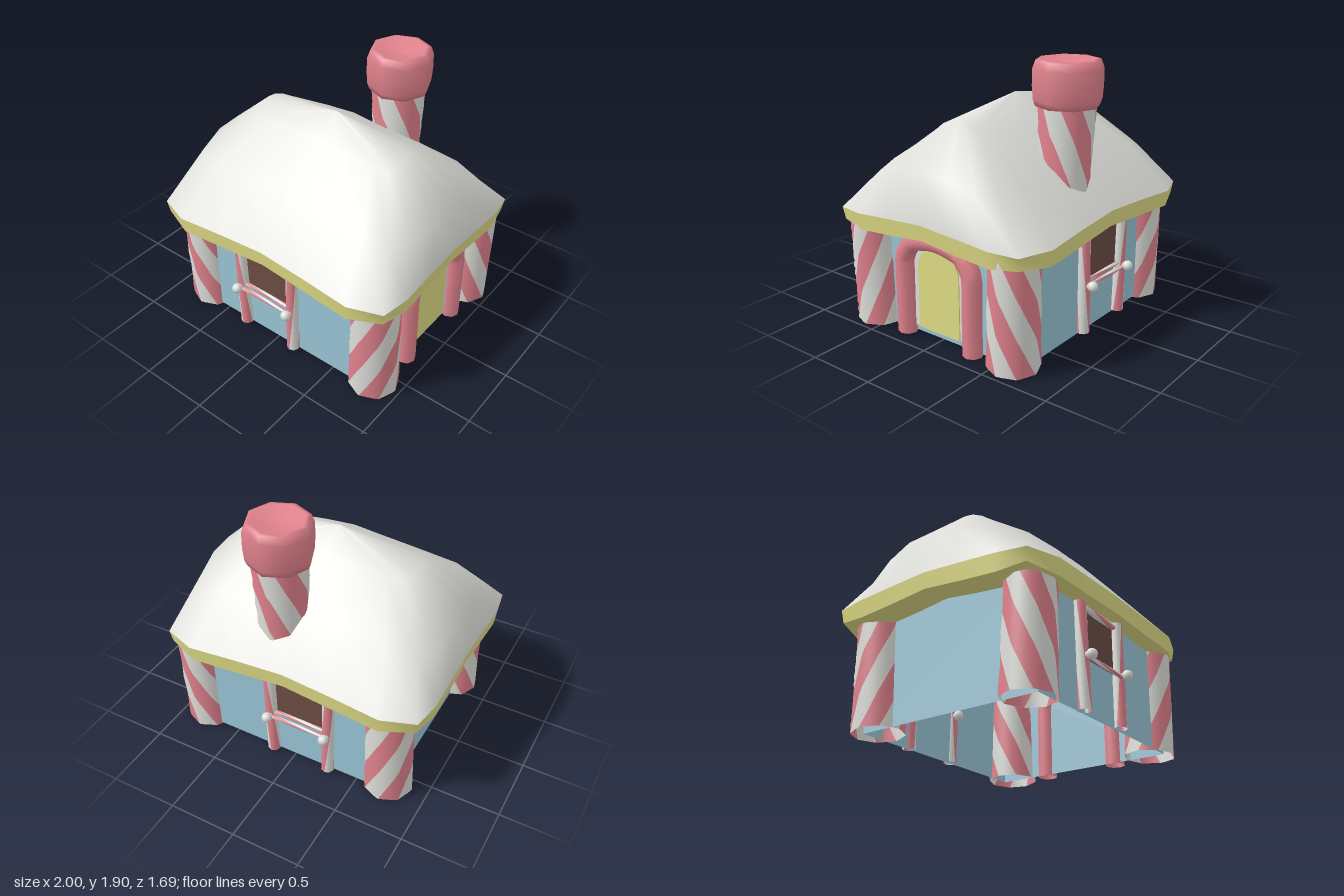
import * as THREE from 'three';

const mat = (name, color, side = THREE.DoubleSide) => {
  const m = new THREE.MeshStandardMaterial({ color, side });
  m.name = name;
  return m;
};

export function createModel() {
  const white = mat('icing white', 0xdededa), pink = mat('candy pink', 0xe0828c);
  const blue = mat('wall blue', 0x9ac4d6), yellow = mat('biscuit yellow', 0xe0dc86);
  const brown = mat('window brown', 0x6b4c44, THREE.FrontSide);
  const house = new THREE.Group();
  house.name = 'candyHouse';
  const V = (x, y, z) => new THREE.Vector3(x, y, z);
  const add = (name, geo, material, x = 0, y = 0, z = 0) => {
    const m = new THREE.Mesh(geo, material);
    m.name = name;
    m.position.set(x, y, z);
    house.add(m);
    return m;
  };

  // Faceted candy stick from a to b, split into alternating helical stripes
  function candy(name, a, b, r0, r1, twist, stripes, sides = 8, phase = 0) {
    const len = a.distanceTo(b), pos = [], nor = [], idx = [], rows = 14, cols = 4;
    const geo = new THREE.BufferGeometry(), seg = Math.PI * 2 / sides;
    for (let s = 0; s < stripes; s++) {
      const base = pos.length / 3, start = idx.length;
      for (let j = 0; j <= rows; j++) {
        for (let i = 0; i <= cols; i++) {
          const t = j / rows;
          const ang = (s + i / cols - 0.5) / stripes * Math.PI * 2 + twist * (t - 0.5) + phase;
          const local = ((ang % seg) + seg) % seg - seg / 2;
          const r = (r0 + (r1 - r0) * t) * Math.cos(seg / 2) / Math.cos(local);
          pos.push(r * Math.sin(ang), t * len, r * Math.cos(ang));
          nor.push(Math.sin(ang), 0, Math.cos(ang));
          if (i < cols && j < rows) {
            const p = base + j * (cols + 1) + i, q = p + cols + 1;
            idx.push(p, p + 1, q + 1, p, q + 1, q);
          }
        }
      }
      geo.addGroup(start, idx.length - start, s % 2);
    }
    geo.setAttribute('position', new THREE.Float32BufferAttribute(pos, 3));
    geo.setAttribute('normal', new THREE.Float32BufferAttribute(nor, 3));
    geo.setIndex(idx);
    const m = add(name, geo, [pink, white], a.x, a.y, a.z);
    m.quaternion.setFromUnitVectors(V(0, 1, 0), b.clone().sub(a).normalize());
    return m;
  }

  // Mirror a quarter outline of [x, y, z] points into a full ring
  function ring(q) {
    const flip = (pts, sx, sz) => pts.map(([x, y, z]) => [x * sx, y, z * sz]);
    const rev = [...q].reverse();
    return [...q, ...flip(rev.slice(1), -1, 1), ...flip(q.slice(1), -1, -1), ...flip(rev.slice(1, -1), 1, -1)];
  }
  // Skin between rings, listed from the lowest outside ring upwards
  function loft(rings) {
    const n = rings[0].length, idx = [];
    for (let k = 0; k < rings.length - 1; k++) {
      for (let i = 0; i < n; i++) {
        const a = k * n + i, b = k * n + (i + 1) % n;
        idx.push(a, a + n, b + n, a, b + n, b);
      }
    }
    const geo = new THREE.BufferGeometry();
    geo.setAttribute('position', new THREE.Float32BufferAttribute(rings.flat(2), 3));
    geo.setIndex(idx);
    geo.computeVertexNormals();
    return geo;
  }

  // Roof: icing shell over a yellow eave
  const eave = [[1, .88, 0], [1, .86, .3], [1, .84, .56], [.965, .835, .765], [.73, .835, .847], [.37, .86, .832], [0, .88, .82]];
  const shoulder = [[.945, 1.2, 0], [.94, 1.19, .2], [.91, 1.13, .4], [.83, 1.11, .52], [.65, 1.15, .56], [.32, 1.18, .56], [0, 1.19, .56]];
  const crown = [[.61, 1.49, 0], [.61, 1.48, .07], [.6, 1.45, .14], [.57, 1.42, .19], [.45, 1.43, .2], [.22, 1.46, .2], [0, 1.48, .2]];
  const apex = crown.map(() => [0, 1.587, 0]);
  add('roofIcing', loft([eave, shoulder, crown, apex].map(ring)), white);
  const lowY = [.77, .74, .72, .745, .72, .74, .765];
  const lip = eave.map(([x, , z], i) => [x * .985, lowY[i], z * .985]);
  const inner = lip.map(([x, y, z]) => [x * .78, y + .02, z * .78]);
  add('eaveBand', loft([lip, eave].map(ring)), yellow);
  add('eaveUnderside', loft([inner, lip].map(ring)), yellow);

  // Walls, open above and below
  const wx0 = -.75, wx1 = .82, wz = .69, wh = .8, midX = (wx0 + wx1) / 2;
  for (const s of [1, -1]) {
    const long = add(s > 0 ? 'frontWall' : 'backWall', new THREE.PlaneGeometry(wx1 - wx0, wh), blue, midX, .01 + wh / 2, s * wz);
    const short = add(s > 0 ? 'leftWall' : 'rightWall', new THREE.PlaneGeometry(wz * 2, wh), blue, s > 0 ? wx1 : wx0, .01 + wh / 2, 0);
    if (s < 0) long.rotation.y = Math.PI;
    short.rotation.y = s * Math.PI / 2;
  }

  // Corner pillars, stripes mirrored side to side
  for (const sx of [1, -1]) {
    for (const sz of [1, -1]) {
      const x = sx > 0 ? .79 : -.71;
      candy('cornerPillar', V(x, 0, sz * .595), V(x + (sx > 0 ? .02 : 0), .8, sz * .62), .182, .172, sx * sz * 2.3, 8);
    }
  }

  // Window with striped frame and sill, front and back
  for (const s of [1, -1]) {
    add('windowPane', new THREE.BoxGeometry(.4, .34, .008), brown, -.065, .56, s * (wz + .006));
    candy('windowPost', V(-.282, .02, s * .712), V(-.298, .78, s * .712), .048, .045, -s * 1.6, 4);
    candy('windowPost', V(.163, .02, s * .712), V(.172, .78, s * .712), .048, .045, s * 1.6, 4);
    candy('windowLintel', V(-.27, .73, s * .712), V(.15, .73, s * .712), .024, .024, 3, 4, 6);
    for (const [y, z] of [[.367, .75], [.393, .72]]) {
      candy('windowSill', V(-.28, y, s * z), V(.16, y, s * z), .016, .016, 3, 4, 6);
    }
    for (const x of [-.29, .165]) {
      candy('sillBracket', V(x, .375, s * .645), V(x, .375, s * .79), .027, .027, 1.5, 4);
      for (const z of [.645, .785]) add('bracketKnob', new THREE.SphereGeometry(.037, 10, 8), white, x, .375, s * z);
    }
  }

  // Door: flat arched panels inside a tube arch
  function panel(name, pts, material, x) {
    const left = pts.slice(0, -1).reverse().map(([a, b]) => [-a, b]);
    const shape = new THREE.Shape([...pts, ...left].map(([a, b]) => new THREE.Vector2(a, b)));
    const m = add(name, new THREE.ExtrudeGeometry(shape, { depth: .008, bevelEnabled: false }), material, x, 0, -.01);
    m.rotation.y = Math.PI / 2;
  }
  panel('doorSurround', [[.225, .06], [.22, .54], [.18, .64], [.09, .7], [0, .72]], white, .835);
  panel('door', [[.18, .06], [.18, .53], [.15, .6], [.08, .66], [0, .68]], yellow, .844);
  const half = [[.295, 0], [.295, .3], [.295, .56], [.22, .675], [.1, .71]];
  const path = [...half, [0, .72], ...[...half].reverse().map(([z, y]) => [-z, y])];
  const curve = new THREE.CatmullRomCurve3(path.map(([z, y]) => V(.85, y, z - .01)), false, 'catmullrom', .25);
  add('doorArch', new THREE.TubeGeometry(curve, 32, .071, 8), pink);

  // Chimney with a dished cap
  candy('chimneyShaft', V(.15, .9, -.52), V(.145, 1.62, -.54), .17, .2, -1.8, 8);
  const cap = [[.17, 1.6], [.215, 1.585], [.23, 1.63], [.237, 1.72], [.235, 1.83], [.215, 1.885], [.185, 1.89], [.12, 1.86], [0, 1.845]];
  add('chimneyCap', new THREE.LatheGeometry(cap.map(([r, y]) => new THREE.Vector2(r, y)), 8), pink, .145, 0, -.54);

  return house;
}
